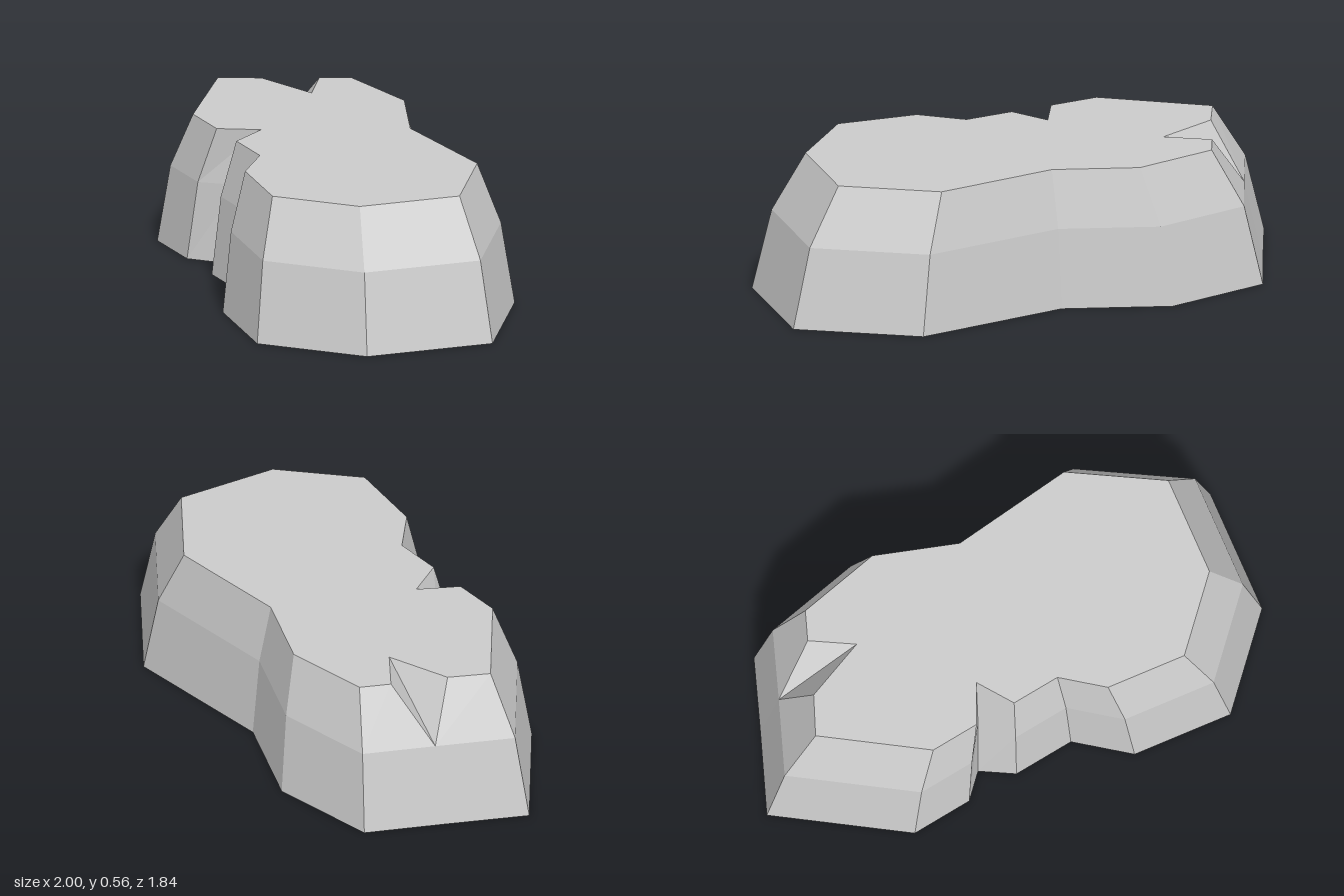
import * as THREE from 'three';

const HEIGHT = 0.565, MID = 0.33, MID_SCALE = 0.925, TOP_SCALE = 0.795;

// Footprint corners [x, z]; `mid` and `top` override the tapered position where the rock is notched
const corners = [
  { foot: [-1, -0.59] },
  // back notch: three rim points meeting in one point halfway up
  { foot: [-0.69, -0.763], mid: [-0.64, -0.705], top: [-0.64, -0.55] },
  { foot: [-0.69, -0.763], mid: [-0.64, -0.705], top: [-0.37, -0.485] },
  { foot: [-0.69, -0.763], mid: [-0.64, -0.705], top: [-0.44, -0.67] },
  { foot: [-0.412, -0.922] },
  { foot: [0, -0.74] },
  { foot: [0.248, -0.368] },
  { foot: [0.818, -0.053] },
  { foot: [1, 0.445] },
  { foot: [0.645, 0.84] },
  { foot: [0.18, 0.917] },
  { foot: [-0.138, 0.64] },
  { foot: [-0.198, 0.385] },
  { foot: [-0.415, 0.245] },
  // front cleft, leaning inward towards the top
  { foot: [-0.47, 0.10], mid: [-0.395, 0.065], top: [-0.315, 0.02] },
  { foot: [-0.6, 0.122] },
  { foot: [-0.818, -0.018] },
];

function ring(key, scale, y) {
  return corners.map((c) => {
    const [x, z] = c[key] ?? c.foot.map((v) => v * scale);
    return new THREE.Vector3(x, y, z);
  });
}

function createRockGeometry() {
  const foot = ring('foot', 1, 0);
  const mid = ring('mid', MID_SCALE, MID);
  const top = ring('top', TOP_SCALE, HEIGHT);
  const positions = [];
  const normal = new THREE.Vector3();
  const edge = new THREE.Vector3();

  // Adds a triangle unless it is collapsed; facing = +1 / -1 turns it up / down
  function triangle(a, b, c, facing = 0) {
    normal.subVectors(b, a).cross(edge.subVectors(c, a));
    if (normal.length() < 1e-7) return;
    if (normal.y * facing < 0) [b, c] = [c, b];
    for (const p of [a, b, c]) positions.push(p.x, p.y, p.z);
  }

  // Two bands of sloping sides
  for (const [low, high] of [[foot, mid], [mid, top]]) {
    for (let i = 0; i < low.length; i++) {
      const j = (i + 1) % low.length;
      triangle(low[j], low[i], high[i]);
      triangle(low[j], high[i], high[j]);
    }
  }

  // Flat top and underside
  for (const [outline, facing] of [[top, 1], [foot, -1]]) {
    const pts = outline.filter((p, i) => i === 0 || !p.equals(outline[i - 1]));
    const flat = pts.map((p) => new THREE.Vector2(p.x, p.z));
    for (const [a, b, c] of THREE.ShapeUtils.triangulateShape(flat, [])) {
      triangle(pts[a], pts[b], pts[c], facing);
    }
  }

  const geometry = new THREE.BufferGeometry();
  geometry.setAttribute('position', new THREE.Float32BufferAttribute(positions, 3));
  geometry.computeVertexNormals();
  return geometry;
}

export function createModel() {
  const model = new THREE.Group();
  model.name = 'flatToppedRock';
  const material = new THREE.MeshStandardMaterial({ color: 0xcccccc, flatShading: true });
  const rock = new THREE.Mesh(createRockGeometry(), material);
  rock.name = 'rock';
  model.add(rock);
  return model;
}
